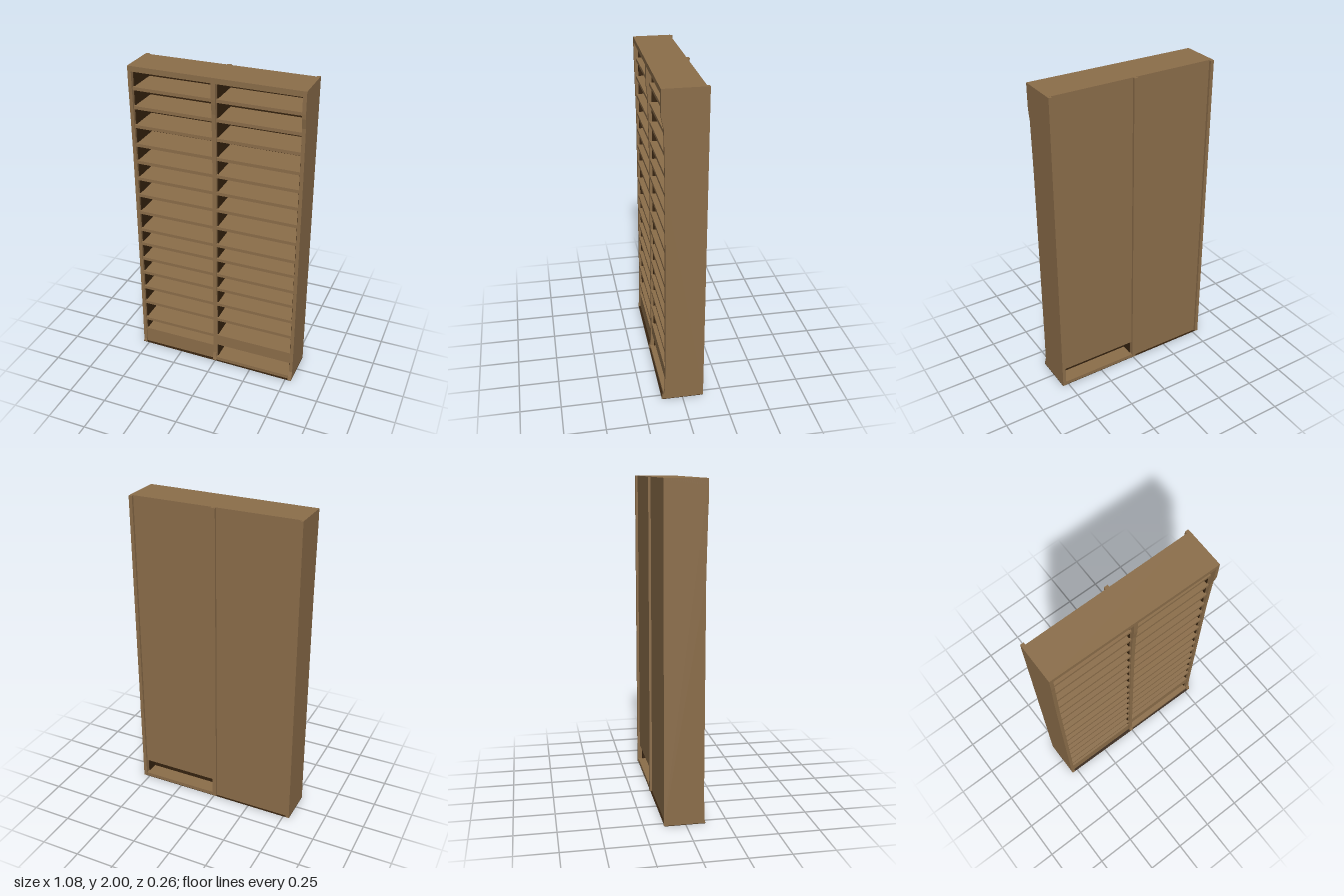
import * as THREE from 'three';

export function createModel() {
  const wood = new THREE.MeshStandardMaterial({ color: 0x8c6e4a });
  wood.name = 'wood brown';
  const dark = new THREE.MeshStandardMaterial({ color: 0x36230f });
  dark.name = 'dark interior brown';

  const root = new THREE.Group();
  root.name = 'shelfUnit';

  function add(name, geometry, material, parent = root) {
    const mesh = new THREE.Mesh(geometry, material);
    mesh.name = name;
    parent.add(mesh);
    return mesh;
  }
  // Box given by its lower and upper limits on each axis
  function box(name, [x0, x1], [y0, y1], [z0, z1], material, parent) {
    const g = new THREE.BoxGeometry(x1 - x0, y1 - y0, z1 - z0);
    g.translate((x0 + x1) / 2, (y0 + y1) / 2, (z0 + z1) / 2);
    return add(name, g, material, parent);
  }
  // Upright with a front edge that flares out at the top and the foot
  function upright(name, x0, x1, front) {
    const mid = 0.108;
    const shape = new THREE.Shape([
      [-0.131, 0.003], [front, 0.003], [front - 0.006, 0.025], [mid + 0.003, 0.06],
      [mid, 0.2], [mid, 1.45], [mid + 0.004, 1.65], [mid + 0.007, 1.78],
      [front - 0.002, 1.84], [front, 1.87], [front, 1.999], [-0.131, 1.999],
    ].map(([z, y]) => new THREE.Vector2(z, y)));
    const g = new THREE.ExtrudeGeometry(shape, { depth: x1 - x0, bevelEnabled: false });
    g.rotateY(-Math.PI / 2);
    g.translate(x1, 0, 0);
    add(name, g, wood);
  }
  // Full-width slab, slightly deeper on the +x side
  function slab(name, y0, y1, back, material) {
    const shape = new THREE.Shape([
      [-0.54, -0.118], [0.54, -0.13], [0.54, -back], [-0.54, -back],
    ].map(([x, y]) => new THREE.Vector2(x, y)));
    const g = new THREE.ExtrudeGeometry(shape, { depth: y1 - y0, bevelEnabled: false });
    g.rotateX(-Math.PI / 2);
    g.translate(0, y0, 0);
    add(name, g, material);
  }

  // Carcass
  upright('rightSidePanel', -0.54, -0.518, 0.118);
  upright('leftSidePanel', 0.518, 0.54, 0.13);
  upright('centreDivider', -0.017, 0.008, 0.124);
  slab('topPanel', 1.967, 2, -0.116, wood);
  slab('underside', 0, 0.003, -0.127, dark);

  const shelfHeights = [1.86, 1.742, 1.622, 1.5, 1.386, 1.272, 1.155, 1.032,
    0.906, 0.8, 0.686, 0.576, 0.457, 0.336, 0.197];
  const columns = [
    { name: 'rightColumn', x: [-0.518, -0.017], floor: 0.113, shelves: shelfHeights },
    { name: 'leftColumn', x: [0.008, 0.518], floor: 0.205, shelves: shelfHeights.slice(0, -1) },
  ];
  // Box sides: +x, -x, top, bottom, front, back
  const shelfMaterials = [wood, wood, wood, dark, wood, wood];

  for (const { name, x, floor, shelves } of columns) {
    const column = new THREE.Group();
    column.name = name;
    root.add(column);
    const backBottom = floor > 0.15 ? 0.125 : 0.003;

    box('backPanel', x, [backBottom, 1.967], [-0.116, -0.104], wood, column);
    box('backLining', x, [floor, 1.967], [-0.104, -0.1], dark, column);
    box('ceilingLining', x, [1.961, 1.967], [-0.1, 0.09], dark, column);
    box('sideLining', [x[0], x[0] + 0.006], [floor, 1.961], [-0.1, 0.092], dark, column);
    box('sideLining', [x[1] - 0.006, x[1]], [floor, 1.961], [-0.1, 0.092], dark, column);
    for (const y of shelves) {
      box('shelf', x, [y - 0.01, y + 0.01], [-0.1, 0.106], shelfMaterials, column);
    }
  }

  // Closed plinth under one column
  box('plinth', [-0.518, -0.017], [0.003, 0.113], [-0.104, 0.104], wood);

  // Raised block with an open compartment below it, front and back
  const x = [0.008, 0.518];
  box('lowerBlock', x, [0.125, 0.205], [-0.104, 0.104], shelfMaterials);
  box('compartmentFloor', x, [0.003, 0.026], [-0.127, 0.116], wood);
  box('compartmentBack', x, [0.026, 0.125], [-0.03, -0.02], dark);
  for (const x0 of [0.008, 0.512]) {
    box('compartmentSide', [x0, x0 + 0.006], [0.026, 0.125], [-0.1, 0.092], dark);
  }

  return root;
}
